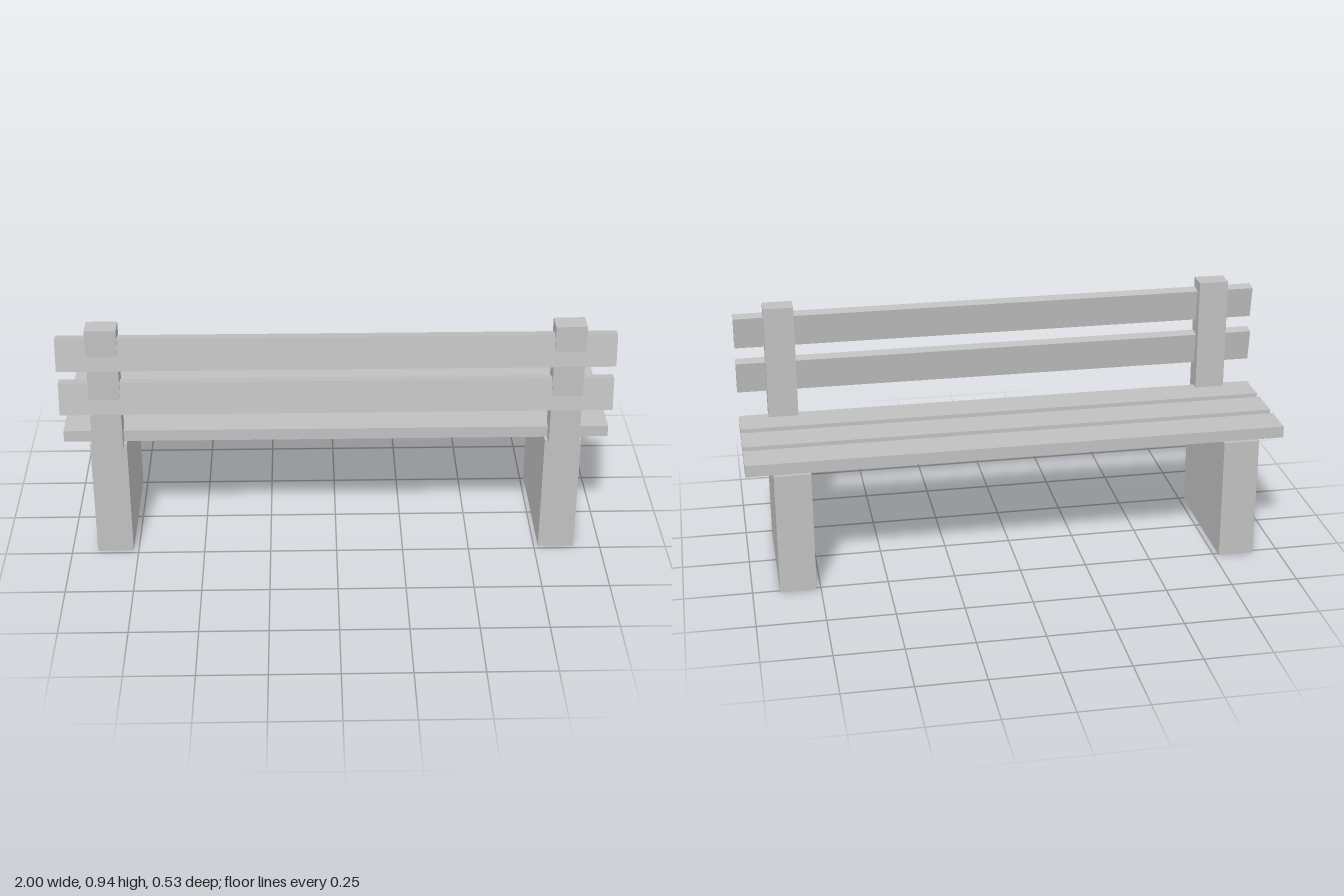
import * as THREE from 'three';

export function createModel() {
  const bench = new THREE.Group();
  bench.name = 'bench';
  const grey = new THREE.MeshStandardMaterial({ color: 0xc0c0c0 });
  grey.name = 'plain grey';

  const addBox = (name, size, position, tilt = 0) => {
    const mesh = new THREE.Mesh(new THREE.BoxGeometry(...size), grey);
    mesh.name = name;
    mesh.position.set(...position);
    mesh.rotation.x = tilt;
    bench.add(mesh);
  };

  // Slab legs, each with a backrest post standing on its +z end
  for (const [side, x] of [['left', 0.833], ['right', -0.836]]) {
    addBox(side + 'Leg', [0.134, 0.468, 0.5], [x, 0.234, -0.015]);
    addBox(side + 'BackPost', [0.112, 0.477, 0.077], [x, 0.7065, 0.2185]);
  }

  // Three seat planks
  [0.146, -0.021, -0.187].forEach((z, i) =>
    addBox('seatPlank' + (i + 1), [2, 0.044, 0.132], [0, 0.491, z]));

  // Two tilted backrest planks let into the posts
  [0.668, 0.846].forEach((y, i) =>
    addBox('backPlank' + (i + 1), [2, 0.122, 0.043], [0, y, 0.235], -0.147));

  return bench;
}
